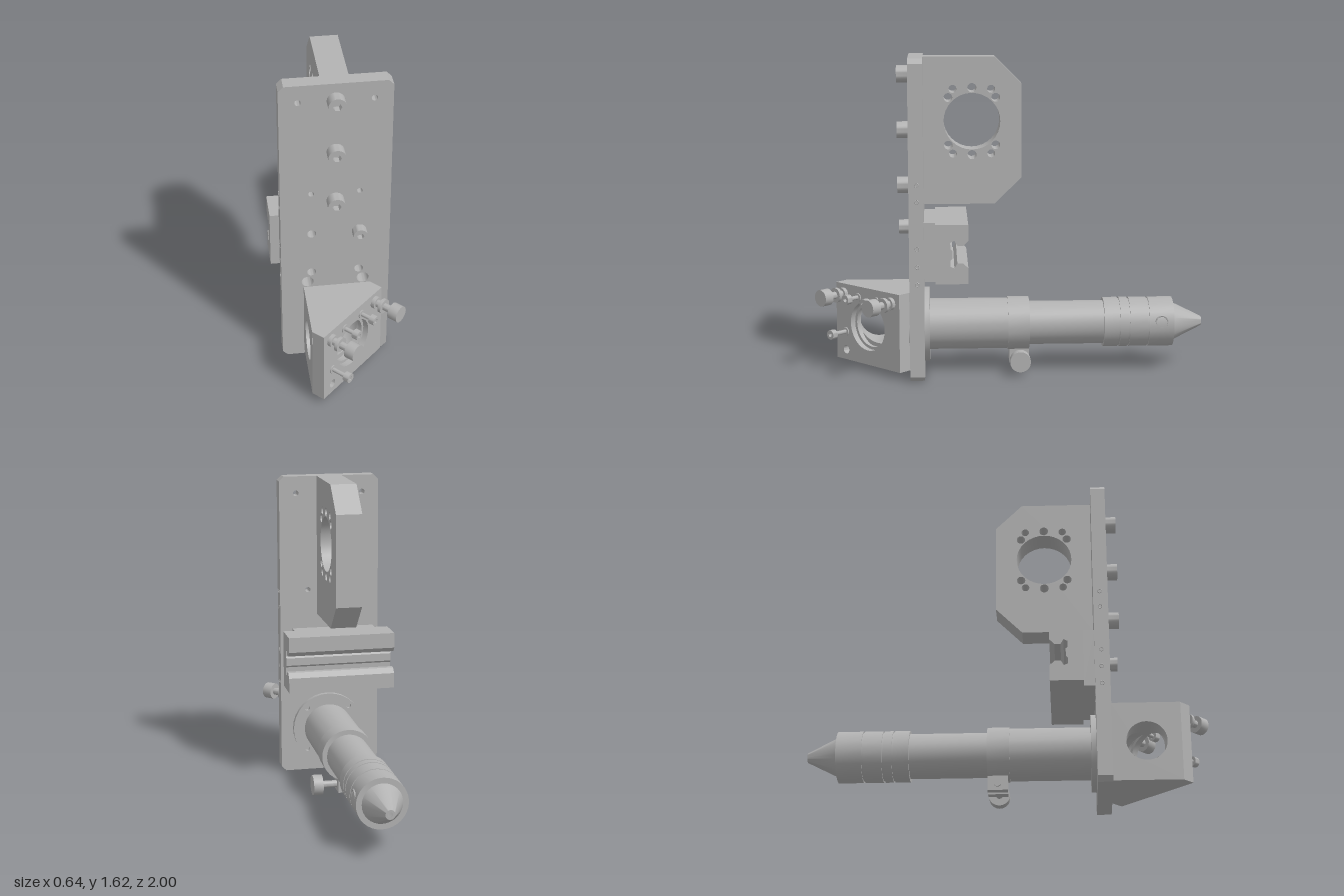
import * as THREE from 'three';
import { toCreasedNormals } from 'three/addons/utils/BufferGeometryUtils.js';

const metal = new THREE.MeshStandardMaterial({ color: 0xb2b2b2, side: THREE.DoubleSide });
metal.name = 'grey metal';

function add(parent, name, geometry) {
  const mesh = new THREE.Mesh(toCreasedNormals(geometry, 0.6), metal);
  mesh.name = name;
  parent.add(mesh);
  return mesh;
}

// Outline from points, with round holes given as [x, y, radius]
function outline(points, holes = []) {
  const s = new THREE.Shape(points.map(p => new THREE.Vector2(...p)));
  for (const [x, y, r] of holes) s.holes.push(new THREE.Path().absellipse(x, y, r, r, 0, Math.PI * 2, true));
  return s;
}

const extrude = (shape, depth) => new THREE.ExtrudeGeometry(shape, { depth, bevelEnabled: false, curveSegments: 16 });

// Sideways extrusion between x0 and x1; shape points are [-z, y]
const extrudeX = (shape, x0, x1) => extrude(shape, x1 - x0).rotateY(Math.PI / 2).translate(x0, 0, 0);

// Solid of revolution along z from [radius, z] pairs
function turned(profile, segments = 32) {
  return new THREE.LatheGeometry(profile.map(([r, z]) => new THREE.Vector2(r, -z)), segments).rotateX(-Math.PI / 2);
}

// Socket head with a hexagonal recess, facing +z
function socketHead(parent, x, y, z, r, h) {
  const s = new THREE.Shape().absarc(0, 0, r, 0, Math.PI * 2);
  const hex = [];
  for (let i = 0; i < 6; i++) hex.push(new THREE.Vector2(r * 0.5 * Math.cos(i * Math.PI / 3), r * 0.5 * Math.sin(i * Math.PI / 3)));
  s.holes.push(new THREE.Path(hex));
  add(parent, 'boltHead', extrude(s, h)).position.set(x, y, z);
  add(parent, 'boltSocketFloor', new THREE.CircleGeometry(r * 0.7, 16)).position.set(x, y, z + h * 0.4);
}

function buildBackPlate(g) {
  const [l, r, t, c] = [-0.28, 0.256, 1.62, 0.025];
  const holes = [[0, 0.24, 0.1]];
  for (const [y, x0, x1, rad] of [[1.53, -0.19, 0.167, 0.015], [1.01, -0.13, 0.105, 0.014],
    [0.533, -0.13, 0.105, 0.022], [0.473, -0.15, 0.126, 0.03]]) holes.push([x0, y, rad], [x1, y, rad]);
  holes.push([-0.128, 0.77, 0.022]);
  const shape = outline([[l + c, 0], [r - c, 0], [r, c], [r, t - c], [r - c, t], [l + c, t], [l, t - c], [l, c]], holes);
  add(g, 'backPlate', extrude(shape, 0.074)).position.z = 0.436;
  for (const y of [1.53, 1.247, 0.965]) socketHead(g, -0.013, y, 0.51, 0.043, 0.06);
  socketHead(g, 0.105, 0.77, 0.51, 0.036, 0.05);
  // Tapped holes along the plate edges
  for (const y of [1.0, 0.915, 0.68, 0.59, 0.5]) for (const x of [l - 0.001, r + 0.001])
    add(g, 'edgeHole', new THREE.TorusGeometry(0.01, 0.002, 4, 12).rotateY(Math.PI / 2)).position.set(x, y, 0.47);
}

function buildBracket(g) {
  const cz = -0.19, cy = 1.295, holes = [[cz, cy, 0.143]];
  for (const s of [-1, 1]) {
    holes.push([cz, cy + s * 0.169, 0.023]);
    for (const m of [-1, 1]) holes.push([cz + m * 0.097, cy + s * 0.163, 0.02], [cz + m * 0.12, cy + s * 0.12, 0.022]);
  }
  const shape = outline([[-0.436, 0.875], [-0.075, 0.875], [0.06, 1.01], [0.06, 1.485], [-0.075, 1.62], [-0.436, 1.62]], holes);
  add(g, 'ringBracket', extrudeX(shape, -0.08, 0.055));
}

function buildRailClamp(g) {
  // Dovetail slot, upper half mirrored about the middle
  const half = [[-0.38, 0.15], [-0.215, 0.15], [-0.215, 0.07], [-0.24, 0.045], [-0.27, 0.045],
    [-0.285, 0.07], [-0.305, 0.06], [-0.305, 0.03], [-0.295, 0.02]];
  const pts = [...half, ...half.slice().reverse().map(([z, y]) => [z, -y])].map(([z, y]) => [z, y + 0.65]);
  add(g, 'railClamp', extrudeX(outline(pts), -0.32, 0.25));
  add(g, 'railClampBase', new THREE.BoxGeometry(0.44, 0.3, 0.058)).position.set(-0.03, 0.65, 0.408);
}

function buildBarrel(g) {
  const profile = [[0.1, 0.44], [0.131, 0.44], [0.131, 0.01], [0.137, 0.01], [0.137, -0.1], [0.112, -0.1], [0.112, -0.485], [0.128, -0.485]];
  // Grooves between the grip rings
  for (const z of [-0.56, -0.61, -0.71]) profile.push([0.128, z], [0.121, z], [0.121, z - 0.008], [0.128, z - 0.008]);
  profile.push([0.128, -0.845], [0.1, -0.845], [0.024, -1], [0.012, -1], [0.085, -0.845], [0.1, -0.8], [0.1, 0.44]);
  add(g, 'barrel', turned(profile)).position.set(0, 0.24, 0);

  const flange = new THREE.Shape().absarc(0, 0, 0.192, 0, Math.PI * 2);
  flange.holes.push(new THREE.Path().absarc(0, 0, 0.12, 0, Math.PI * 2, true));
  for (let i = 0; i < 4; i++) {
    const a = Math.PI / 4 + i * Math.PI / 2;
    flange.holes.push(new THREE.Path().absellipse(0.163 * Math.cos(a), 0.163 * Math.sin(a), 0.013, 0.013, 0, Math.PI * 2, true));
  }
  add(g, 'barrelFlange', extrude(flange, 0.026)).position.set(0, 0.24, 0.41);
  add(g, 'sidePort', new THREE.TorusGeometry(0.03, 0.004, 6, 20).rotateY(Math.PI / 2)).position.set(0.124, 0.265, -0.78);

  // Split clamp lugs with a cross screw
  for (const s of [-1, 1]) add(g, 'clampLug', new THREE.BoxGeometry(0.04, 0.09, 0.1)).position.set(s * 0.032, 0.085, -0.05);
  const rod = turned([[0, -0.06], [0.018, -0.06], [0.018, 0.13], [0.053, 0.13], [0.053, 0.18], [0, 0.18]], 20);
  add(g, 'clampScrew', rod.rotateY(Math.PI / 2)).position.set(0, 0.075, -0.05);
}

function buildMirrorMount(g) {
  const [lo, hi, back, side, diag, r, cy] = [0.037, 0.44, 0.51, -0.17, 0.68, 0.1, 0.24];
  // Triangular block: two caps and a bored side wall
  const tri = outline([[side, -back], [-side, -back], [side, side - diag]]);
  for (const y of [lo, hi]) add(g, 'mountCap', new THREE.ShapeGeometry(tri).rotateX(-Math.PI / 2)).position.y = y;
  const wall = outline([[side - diag, lo], [-back, lo], [-back, hi], [side - diag, hi]], [[-diag, cy, r]]);
  add(g, 'mountSideWall', new THREE.ShapeGeometry(wall, 24).rotateY(Math.PI / 2)).position.x = side;

  // Two bores meeting at a mitre
  for (const across of [false, true]) {
    const bore = new THREE.CylinderGeometry(r, r, 1, 32, 1, true).rotateX(Math.PI / 2);
    const p = bore.attributes.position;
    for (let i = 0; i < p.count; i++) {
      const u = p.getX(i), v = p.getY(i), end = p.getZ(i) > 0;
      if (across) p.setXYZ(i, end ? -Math.abs(u) : side, cy + v, diag + u);
      else p.setXYZ(i, u, cy + v, end ? diag - Math.abs(u) : back);
    }
    add(g, 'mountBore', bore);
  }

  // Angled face: local z points out of the face
  const face = new THREE.Group();
  face.name = 'angledFace';
  face.position.set(0.0475, cy, 0.73);
  face.rotation.y = Math.PI / 4;
  g.add(face);
  const rect = w => [[-w, lo - cy], [w, lo - cy], [w, hi - cy], [-w, hi - cy]];
  const seat = outline(rect(0.237));
  seat.holes.push(new THREE.Path().absellipse(0, 0, r * Math.SQRT2, r, 0, Math.PI * 2, true));
  add(face, 'mirrorSeat', new THREE.ShapeGeometry(seat, 24)).position.z = -0.069;
  const low = [-0.166, -0.15, 0.022];
  add(face, 'mountPlate', extrude(outline(rect(0.237), [[0, 0, 0.128], low]), 0.07)).position.z = -0.07;
  add(face, 'retainingRing', turned([[0.113, -0.03], [0.129, -0.03], [0.129, -0.05], [0.113, -0.05], [0.113, -0.03]])).position.z = 0;

  // Adjuster knobs
  for (const x of [-0.178, 0.177]) {
    const knob = turned([[0, 0], [0.032, 0], [0.032, 0.02], [0.02, 0.02], [0.02, 0.045], [0.038, 0.045], [0.038, 0.062],
      [0.019, 0.062], [0.019, 0.108], [0.043, 0.108], [0.043, 0.16], [0, 0.16]], 20);
    add(face, 'adjusterKnob', knob).position.set(x, 0.147, 0);
  }
  // Small tension screws
  for (const [x, y, z] of [[0.067, 0.143, 0.06], [-0.069, 0.143, 0.06], [-0.166, -0.053, 0.08]]) {
    add(face, 'screwCollar', turned([[0, 0], [0.022, 0], [0.022, 0.006], [0, 0.006]], 16)).position.set(x, y, 0);
    add(face, 'screwStem', turned([[0.011, 0], [0.011, z]], 12)).position.set(x, y, 0);
    socketHead(face, x, y, z, 0.025, 0.03);
  }
}

export function createModel() {
  const model = new THREE.Group();
  model.name = 'opticalAssembly';
  for (const [name, build] of Object.entries({ backPlateAssembly: buildBackPlate, bracketAssembly: buildBracket,
    railClampAssembly: buildRailClamp, barrelAssembly: buildBarrel, mirrorMount: buildMirrorMount })) {
    const part = new THREE.Group();
    part.name = name;
    build(part);
    model.add(part);
  }
  return model;
}
